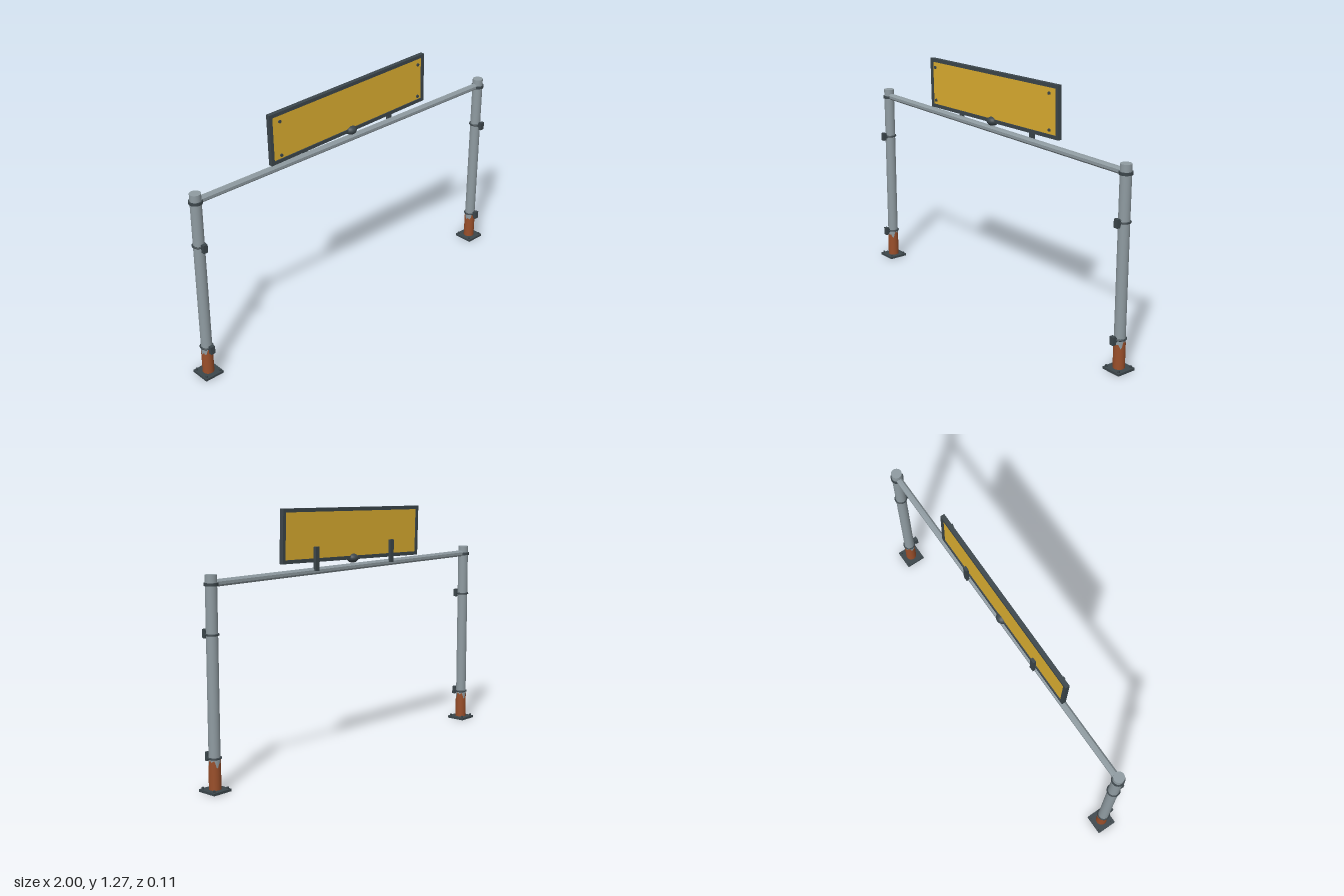
import * as THREE from 'three';

const mat = (color, extra = {}) => {
  const m = new THREE.MeshStandardMaterial({ color });
  return Object.assign(m, extra);
};
const steel = mat(0x8f9ba1);
const steelFlat = mat(0x8f9ba1, { flatShading: true });
const dark = mat(0x3c464b);
const rust = mat(0x9a4f2a, { side: THREE.DoubleSide });
const yellow = mat(0xdcae30);

function add(parent, name, geometry, material, x = 0, y = 0, z = 0) {
  const mesh = new THREE.Mesh(geometry, material);
  mesh.name = name;
  mesh.position.set(x, y, z);
  parent.add(mesh);
  return mesh;
}
const box = (w, h, d) => new THREE.BoxGeometry(w, h, d);
const cyl = (r, h, n = 24) => new THREE.CylinderGeometry(r, r, h, n);

// Open sleeve around the post foot with a ragged upper edge
function rustSleeve() {
  const g = new THREE.CylinderGeometry(0.0288, 0.0288, 0.14, 32, 1, true);
  g.translate(0, 0.07, 0);
  const p = g.attributes.position;
  for (let i = 0; i < p.count; i++) {
    if (p.getY(i) < 0.1) continue;
    const a = Math.atan2(p.getZ(i), p.getX(i));
    p.setY(i, 0.128 + 0.014 * Math.sin(3 * a + 2.6) + 0.01 * Math.sin(7 * a + 1));
  }
  return g;
}

function buildPost() {
  const post = new THREE.Group();
  add(post, 'basePlate', box(0.105, 0.012, 0.105), dark, 0, 0.006);
  for (const x of [-0.04, 0.04])
    for (const z of [-0.04, 0.04])
      add(post, 'anchorBolt', cyl(0.006, 0.01, 6), dark, x, 0.017, z);
  add(post, 'postTube', cyl(0.0275, 0.988), steel, 0, 0.506);
  add(post, 'rustSleeve', rustSleeve(), rust, 0, 0.01);
  // Clamp rings with a lug on the front
  for (const y of [0.16, 0.73]) {
    const ring = add(post, 'clampRing', new THREE.TorusGeometry(0.029, 0.005, 8, 28), dark, 0, y);
    ring.rotation.x = Math.PI / 2;
    add(post, 'clampNeck', box(0.016, 0.022, 0.012), dark, 0, y, 0.032);
    add(post, 'clampLug', box(0.024, 0.042, 0.018), dark, 0, y, 0.044);
  }
  add(post, 'topCollar', cyl(0.033, 0.014), dark, 0, 0.957);
  return post;
}

function buildSign() {
  const sign = new THREE.Group();
  const w = 1.02, h = 0.262, b = 0.018, d = 0.022;
  // Rectangular frame with an opening for the panel
  const rect = (T, x, y) => new T([[-x, -y], [x, -y], [x, y], [-x, y]].map(c => new THREE.Vector2(...c)));
  const outline = rect(THREE.Shape, w / 2, h / 2);
  outline.holes.push(rect(THREE.Path, w / 2 - b, h / 2 - b));
  const frame = new THREE.ExtrudeGeometry(outline, { depth: d, bevelEnabled: false });
  add(sign, 'signFrame', frame, dark, 0, 0, -d / 2);
  add(sign, 'signPanel', box(w - 2 * b, h - 2 * b, 0.012), yellow);
  // Corner bolts
  for (const x of [-0.456, 0.456])
    for (const y of [-0.088, 0.088]) {
      const bolt = add(sign, 'signBolt', cyl(0.008, 0.006, 10), dark, x, y, 0.02);
      bolt.rotation.x = Math.PI / 2;
    }
  sign.position.set(-0.006, 1.128, 0);
  sign.rotation.z = 0.0262;
  return sign;
}

export function createModel() {
  const model = new THREE.Group();
  model.name = 'overheadSignGantry';

  for (const [name, x] of [['leftPost', 0.947], ['rightPost', -0.947]]) {
    const post = buildPost();
    post.name = name;
    post.position.x = x;
    model.add(post);
  }

  // Eight-sided crossbar with flats facing up and front
  const bar = cyl(0.0175, 1.88, 8);
  bar.rotateY(Math.PI / 8).rotateZ(Math.PI / 2);
  add(model, 'crossbar', bar, steelFlat, 0, 0.96);

  const sign = buildSign();
  sign.name = 'sign';
  model.add(sign);

  // Rear uprights holding the sign to the bar
  for (const x of [-0.283, 0.283])
    add(model, 'signBracket', box(0.026, 0.118, 0.015), dark, x, 1.021, -0.0185);

  // Rounded boss at the middle of the bar
  const boss = add(model, 'centerBoss', new THREE.SphereGeometry(0.031, 20, 12), dark, 0, 1.003);
  boss.scale.y = 0.75;

  return model;
}
